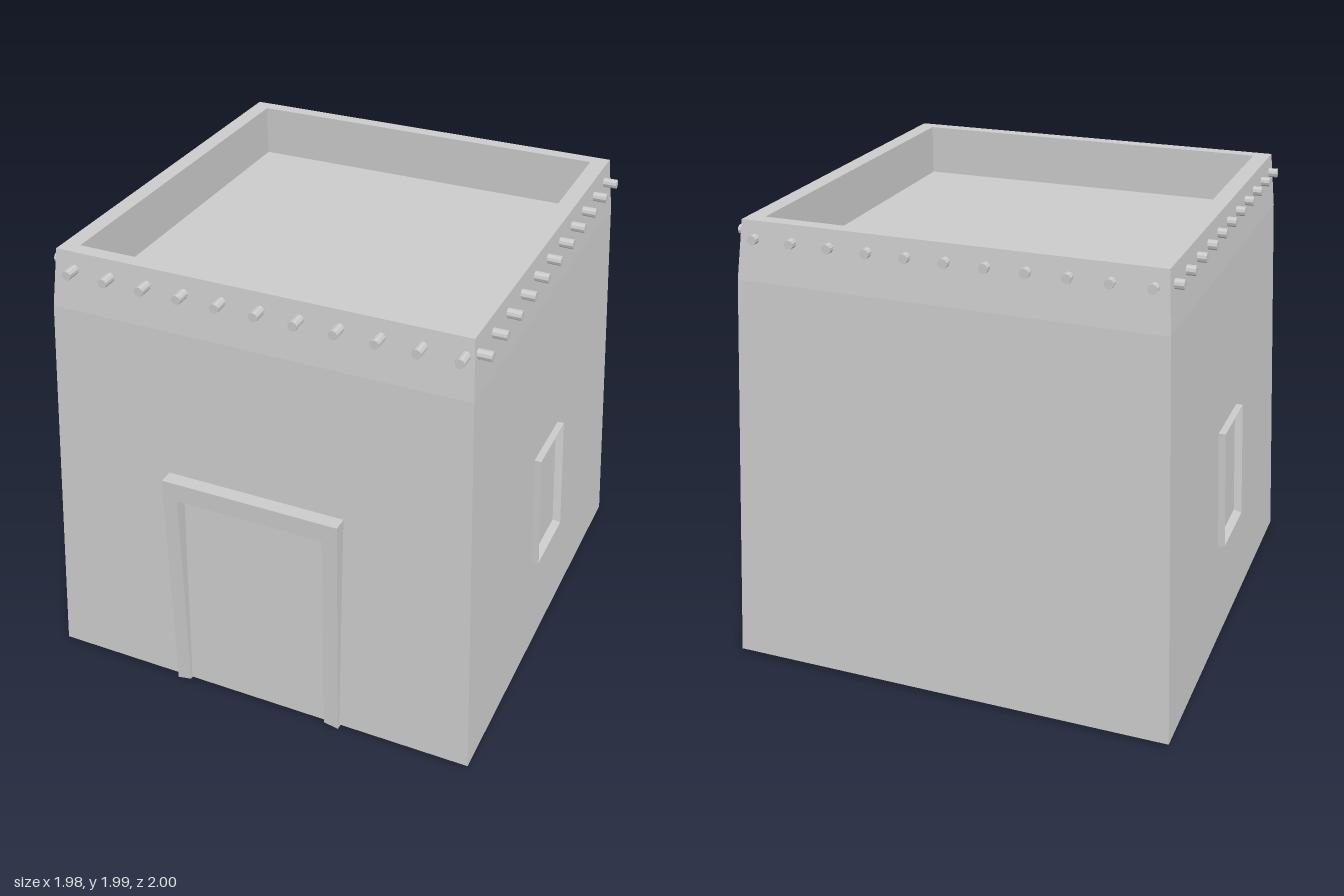
import * as THREE from 'three';

const mat = new THREE.MeshStandardMaterial({ color: 0xcccccc, flatShading: true, side: THREE.DoubleSide });

// Centre of the walls and their rings from foot to roof: half width, half depth, height
const CX = 0.003, CZ = -0.005;
const RINGS = [
  [0.982, 0.993, 0.02],
  [0.897, 0.91, 1.74],
  [0.876, 0.877, 1.985],
  [0.804, 0.816, 1.985],
  [0.804, 0.816, 1.76],
];

function mesh(geometry, name) {
  const m = new THREE.Mesh(geometry, mat);
  m.name = name;
  return m;
}

// Half width of the wall at a given height (lower slope)
function wallX(y) {
  return THREE.MathUtils.mapLinear(y, RINGS[0][2], RINGS[1][2], RINGS[0][0], RINGS[1][0]);
}

// Tapered walls, flat parapet rim and sunken roof, open underneath
function wallsGeometry() {
  const corners = RINGS.map(([hx, hz, y]) =>
    [[-1, 1], [1, 1], [1, -1], [-1, -1]].map(([sx, sz]) => [CX + sx * hx, y, CZ + sz * hz]));
  const pos = [];
  const quad = (a, b, c, d) => pos.push(...a, ...b, ...c, ...a, ...c, ...d);
  for (let r = 0; r < corners.length - 1; r++) {
    for (let i = 0; i < 4; i++) {
      const j = (i + 1) % 4;
      quad(corners[r][i], corners[r][j], corners[r + 1][j], corners[r + 1][i]);
    }
  }
  quad(...corners[corners.length - 1]);
  const g = new THREE.BufferGeometry();
  g.setAttribute('position', new THREE.Float32BufferAttribute(pos, 3));
  g.computeVertexNormals();
  return g;
}

// Door surround: an arch of two posts and a lintel with a slanted underside
function doorFrameGeometry() {
  const s = new THREE.Shape();
  const points = [[-0.39, 0], [-0.325, 0.012], [-0.325, 1], [0.331, 1], [0.331, 0.012], [0.397, 0], [0.397, 1.085], [-0.39, 1.085]];
  s.setFromPoints(points.map(([x, y]) => new THREE.Vector2(x, y)));
  const g = new THREE.ExtrudeGeometry(s, { depth: 0.11, bevelEnabled: false });
  g.translate(0, 0, 0.89);
  const p = g.attributes.position;
  for (let i = 0; i < p.count; i++) {
    if (p.getZ(i) < 0.9 && Math.abs(p.getY(i) - 1) < 0.01) p.setY(i, 0.985);
    if (p.getZ(i) > 0.9 && p.getY(i) < 0.02) p.setY(i, p.getY(i) + 0.004);
  }
  // Rest the posts exactly on the ground
  g.computeVertexNormals();
  return g;
}

// Window surround on one side wall: splayed opening, leaning with the wall
function windowGeometry(side) {
  const hw = 0.165, hh = 0.27, cy = 0.76, lip = 0.004, splay = 0.042;
  const rect = (Type, w, h) => new Type([[-w, -h], [w, -h], [w, h], [-w, h]].map(([x, y]) => new THREE.Vector2(x, y)));
  const s = rect(THREE.Shape, hw, hh);
  s.holes.push(rect(THREE.Path, hw - lip, hh - lip));
  const g = new THREE.ExtrudeGeometry(s, { depth: 0.055, bevelEnabled: false });
  const p = g.attributes.position;
  for (let i = 0; i < p.count; i++) {
    let u = p.getX(i), v = p.getY(i);
    const d = p.getZ(i);
    const inner = Math.abs(u) < hw - lip / 2;
    if (inner && d < 0.01) {
      u -= Math.sign(u) * splay;
      v -= Math.sign(v) * splay;
    }
    const y = cy + v;
    p.setXYZ(i, CX + side * (wallX(y) - 0.025 + d), y, CZ - side * u);
  }
  g.computeVertexNormals();
  return g;
}

// Row of roof beam ends along one wall
function beamRow(name, alongX, sign, start, tip) {
  const row = new THREE.Group();
  row.name = name;
  const length = tip - 0.83;
  const g = new THREE.CylinderGeometry(0.02, 0.02, length, 10);
  if (alongX) g.rotateX(Math.PI / 2);
  else g.rotateZ(Math.PI / 2);
  for (let i = 0; i < 11; i++) {
    const t = start + i * 0.164, out = sign * (tip - length / 2);
    const beam = mesh(g, 'beamEnd');
    beam.position.set(alongX ? t : out, 1.913, alongX ? out : t);
    row.add(beam);
  }
  return row;
}

export function createModel() {
  const house = new THREE.Group();
  house.name = 'adobeHouse';
  house.add(
    mesh(wallsGeometry(), 'walls'),
    mesh(doorFrameGeometry(), 'doorFrame'),
    mesh(windowGeometry(1), 'leftWindowFrame'),
    mesh(windowGeometry(-1), 'rightWindowFrame'),
    beamRow('frontBeams', true, 1, -0.79, 0.943),
    beamRow('backBeams', true, -1, -0.82, 0.92),
    beamRow('leftBeams', false, 1, -0.795, 0.943),
    beamRow('rightBeams', false, -1, -0.825, 0.917),
  );
  return house;
}
